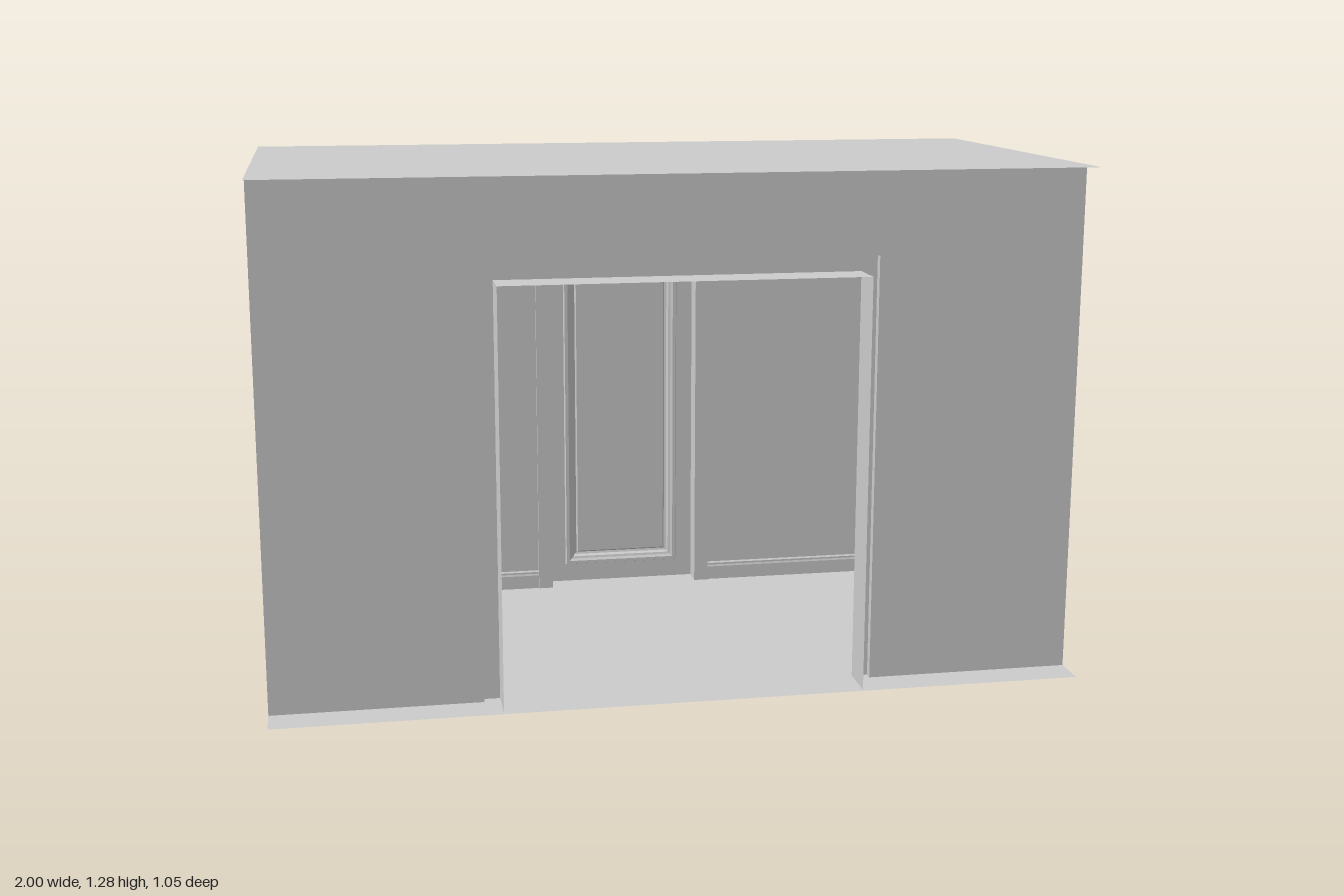
import * as THREE from 'three';
import { toCreasedNormals } from 'three/addons/utils/BufferGeometryUtils.js';

const W = 1, D = 0.527, H = 1.28;          // half width, half depth, ceiling height
const FRONT = 0.44, BACK = -0.44;          // wall planes

const material = new THREE.MeshStandardMaterial({ color: 0xcccccc, side: THREE.DoubleSide });

function add(parent, name, geometry) {
  const mesh = new THREE.Mesh(geometry, material);
  mesh.name = name;
  parent.add(mesh);
  return mesh;
}

// Skin a list of equally long point rows with quads
function skin(rows) {
  const pos = [];
  for (let i = 0; i < rows.length - 1; i++) {
    for (let j = 0; j < rows[i].length - 1; j++) {
      const a = rows[i][j], b = rows[i][j + 1], c = rows[i + 1][j + 1], d = rows[i + 1][j];
      pos.push(...a, ...b, ...c, ...a, ...c, ...d);
    }
  }
  const g = new THREE.BufferGeometry();
  g.setAttribute('position', new THREE.Float32BufferAttribute(pos, 3));
  g.computeVertexNormals();
  return g;
}

// Three-sided row around a doorway: half width, top, depth
const arch = (w, h, z) => [[-w, 0, z], [-w, h, z], [w, h, z], [w, 0, z]];

// Closed rectangular row
const rect = (w, y0, y1, z) => [[-w, y0, z], [w, y0, z], [w, y1, z], [-w, y1, z], [-w, y0, z]];

// Flat wall with a doorway cut up from the floor
function wall(w, h, z) {
  const s = new THREE.Shape([
    [-W, 0], [-w, 0], [-w, h], [w, h], [w, 0], [W, 0], [W, H], [-W, H],
  ].map(([x, y]) => new THREE.Vector2(x, y)));
  return new THREE.ShapeGeometry(s).translate(0, 0, z);
}

// Moulding along x: profile is [distance from wall, height]
const run = (profile, x0, x1, z, dir) =>
  skin(profile.map(([d, y]) => [[x0, y, z + dir * d], [x1, y, z + dir * d]]));

const skirtingProfile = [[0.006, 0], [0.006, 0.038], [0.004, 0.043], [0.004, 0.048], [0, 0.052]];
const crownProfile = [[0, H - 0.035], [0.005, H - 0.032], [0.007, H - 0.022],
  [0.014, H - 0.012], [0.018, H - 0.008], [0.018, H]];

export function createModel() {
  const room = new THREE.Group();
  room.name = 'room';

  // Floor and ceiling sheets
  for (const [name, y] of [['floor', 0], ['ceiling', H]]) {
    add(room, name, new THREE.PlaneGeometry(2 * W, 2 * D).rotateX(-Math.PI / 2).translate(0, y, 0));
  }

  // Walls with their doorways, mouldings on the inner side
  const sides = [
    { name: 'front', z: FRONT, dir: -1, outer: [0.485, 1.07], inner: [0.445, 1.03], trim: 0.02, lining: 0.08 },
    { name: 'back', z: BACK, dir: 1, outer: [0.25, 1.045], inner: [0.21, 1.0], trim: 0.01, lining: 0.05 },
  ];
  for (const { name, z, dir, outer, inner, trim, lining } of sides) {
    const group = new THREE.Group();
    group.name = name + 'Side';
    room.add(group);
    add(group, name + 'Wall', wall(...outer, z));
    const inside = z + dir * trim, outside = z - dir * lining;
    // Open-backed casing, then the lining running outwards
    add(group, name + 'DoorTrim', skin([arch(...outer, z), arch(...outer, inside),
      arch(...inner, inside), arch(...inner, z)]));
    add(group, name + 'DoorLining', skin([arch(...inner, z), arch(...inner, outside)]));
    for (const s of [-1, 1]) {
      add(group, name + 'Skirting', run(skirtingProfile, s * outer[0], s * W, z, dir));
    }
    add(group, name + 'Crown', run(crownProfile, -W, W, z, dir));
  }

  // Closed door: slab border, stepped moulding and flat centre panel
  const door = new THREE.Group();
  door.name = 'door';
  room.add(door);
  const step = (inset, z) => rect(0.165 - inset, 0.05 + inset, 0.955 - inset, z);
  add(door, 'doorSlab', skin([rect(0.21, 0, 1.0, -0.49), step(0, -0.49)]));
  add(door, 'doorMoulding', skin([step(0, -0.49), step(0.003, -0.481), step(0.012, -0.481),
    step(0.018, -0.486), step(0.024, -0.488), step(0.028, -0.498), step(0.034, -0.5),
    step(0.038, -0.495), step(0.052, -0.495)]));
  add(door, 'doorPanel', new THREE.PlaneGeometry(0.226, 0.801)
    .rotateY(Math.PI).translate(0, 0.5025, -0.495));

  // Shallow round ceiling lamp
  const bowl = [[0, 1.234], [0.045, 1.234], [0.065, 1.237], [0.082, 1.243], [0.093, 1.25],
    [0.101, 1.26], [0.104, 1.266], [0.112, 1.269], [0.113, 1.272], [0.113, 1.279]]
    .map(([r, y]) => new THREE.Vector2(r, y));
  add(room, 'ceilingLamp', toCreasedNormals(new THREE.LatheGeometry(bowl, 40), 0.6));

  return room;
}
